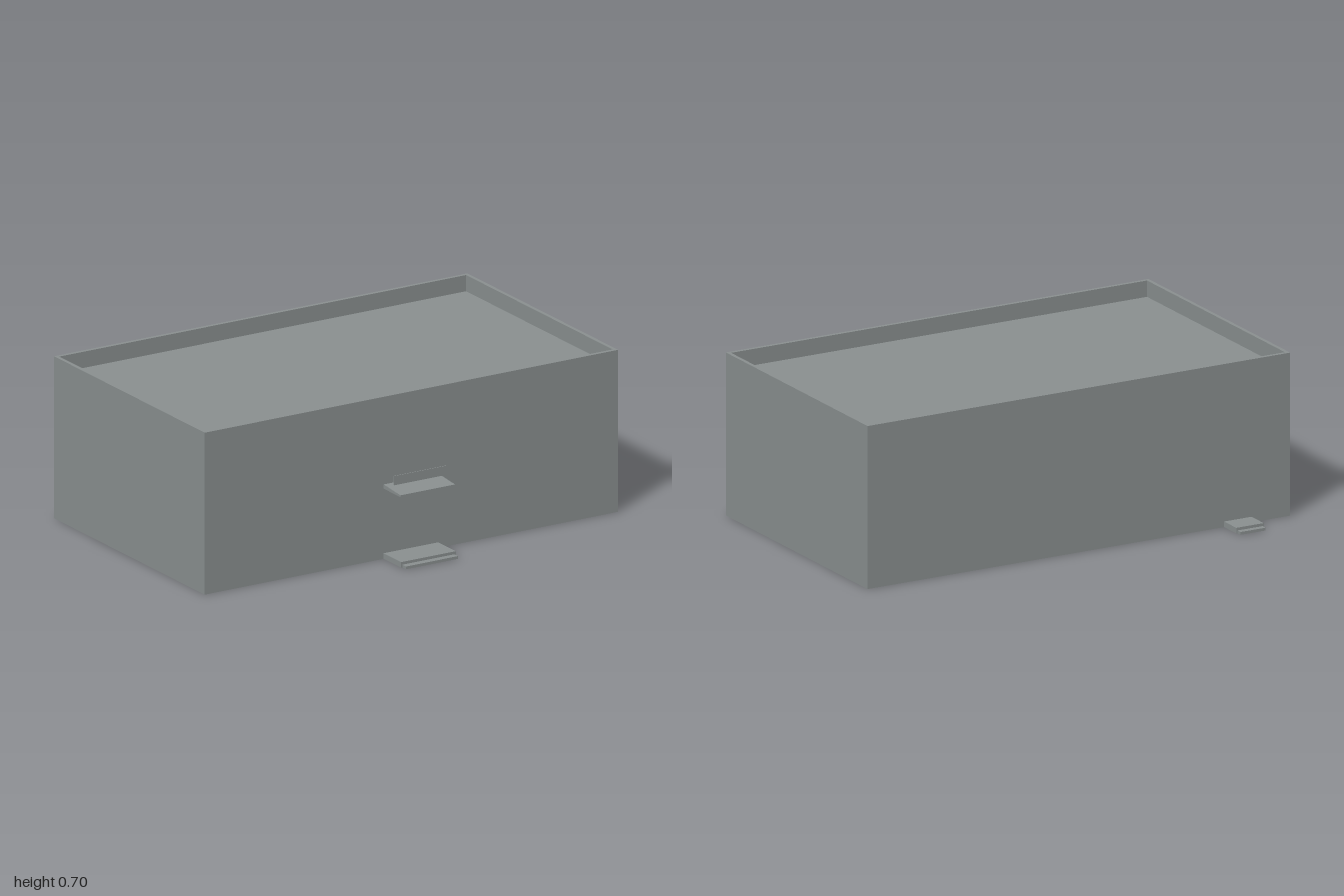
import * as THREE from 'three';

export function createModel() {
  const model = new THREE.Group();
  model.name = 'flatRoofBuilding';
  const concrete = new THREE.MeshStandardMaterial({ color: 0x8b9191, side: THREE.DoubleSide });
  concrete.name = 'grey concrete';

  const add = (name, geometry, parent = model) => {
    const mesh = new THREE.Mesh(geometry, concrete);
    mesh.name = name;
    parent.add(mesh);
    return mesh;
  };

  // Main dimensions
  const back = -0.6, front = 0.56, roofY = 0.63, topY = 0.7, rim = 0.016;
  const depth = front - back, midZ = (front + back) / 2;

  // Thin outer walls, open underneath
  const wall = (name, width, x, z, turn) =>
    add(name, new THREE.PlaneGeometry(width, roofY).rotateY(turn).translate(x, roofY / 2, z));
  wall('frontWall', 2, 0, front, 0);
  wall('backWall', 2, 0, back, Math.PI);
  wall('leftWall', depth, 1, midZ, Math.PI / 2);
  wall('rightWall', depth, -1, midZ, -Math.PI / 2);

  // Raised parapet around the sunken roof
  const rectangle = (Type, w, d) => new Type([
    new THREE.Vector2(-w, -d), new THREE.Vector2(w, -d),
    new THREE.Vector2(w, d), new THREE.Vector2(-w, d),
  ]);
  const ring = rectangle(THREE.Shape, 1, depth / 2);
  ring.holes.push(rectangle(THREE.Path, 1 - rim, depth / 2 - rim));
  add('parapet', new THREE.ExtrudeGeometry(ring, { depth: topY - roofY, bevelEnabled: false })
    .rotateX(-Math.PI / 2).translate(0, roofY, midZ));
  add('roof', new THREE.PlaneGeometry(2 - 2 * rim, depth - 2 * rim)
    .rotateX(-Math.PI / 2).translate(0, roofY, midZ));

  // Hollow step: a top and three sides, running out from z = 0
  const tread = (name, width, height, start, end, parent) => {
    const group = new THREE.Group();
    group.name = name;
    const run = end - start, z = (start + end) / 2;
    add('treadTop', new THREE.PlaneGeometry(width, run).rotateX(-Math.PI / 2).translate(0, height, z), group);
    add('riser', new THREE.PlaneGeometry(width, height).translate(0, height / 2, end), group);
    for (const side of [-1, 1]) {
      add('treadSide', new THREE.PlaneGeometry(run, height)
        .rotateY(side * Math.PI / 2).translate(side * width / 2, height / 2, z), group);
    }
    parent.add(group);
  };
  const doorstep = (name, width, x, z, turn, reach, lowReach) => {
    const group = new THREE.Group();
    group.name = name;
    tread('upperStep', width, 0.024, 0, reach, group);
    tread('lowerStep', width - 0.012, 0.012, reach, lowReach, group);
    group.position.set(x, 0, z);
    group.rotation.y = turn;
    model.add(group);
  };
  doorstep('frontSteps', 0.264, -0.002, front, 0, 0.135, 0.163);
  doorstep('backSteps', 0.13, -0.752, back, Math.PI, 0.1, 0.125);

  // Sloping canopy above the front door, set slightly into the wall
  const slope = new THREE.Shape([
    new THREE.Vector2(-0.008, 0.303), new THREE.Vector2(0.13, 0.303),
    new THREE.Vector2(0.13, 0.311), new THREE.Vector2(-0.008, 0.322),
  ]);
  add('canopy', new THREE.ExtrudeGeometry(slope, { depth: 0.264, bevelEnabled: false })
    .rotateY(-Math.PI / 2).translate(0.13, 0, front));

  // Upright sign plate over the canopy
  add('signPlate', new THREE.BoxGeometry(0.254, 0.04, 0.003).translate(-0.002, 0.357, 0.631));

  return model;
}
